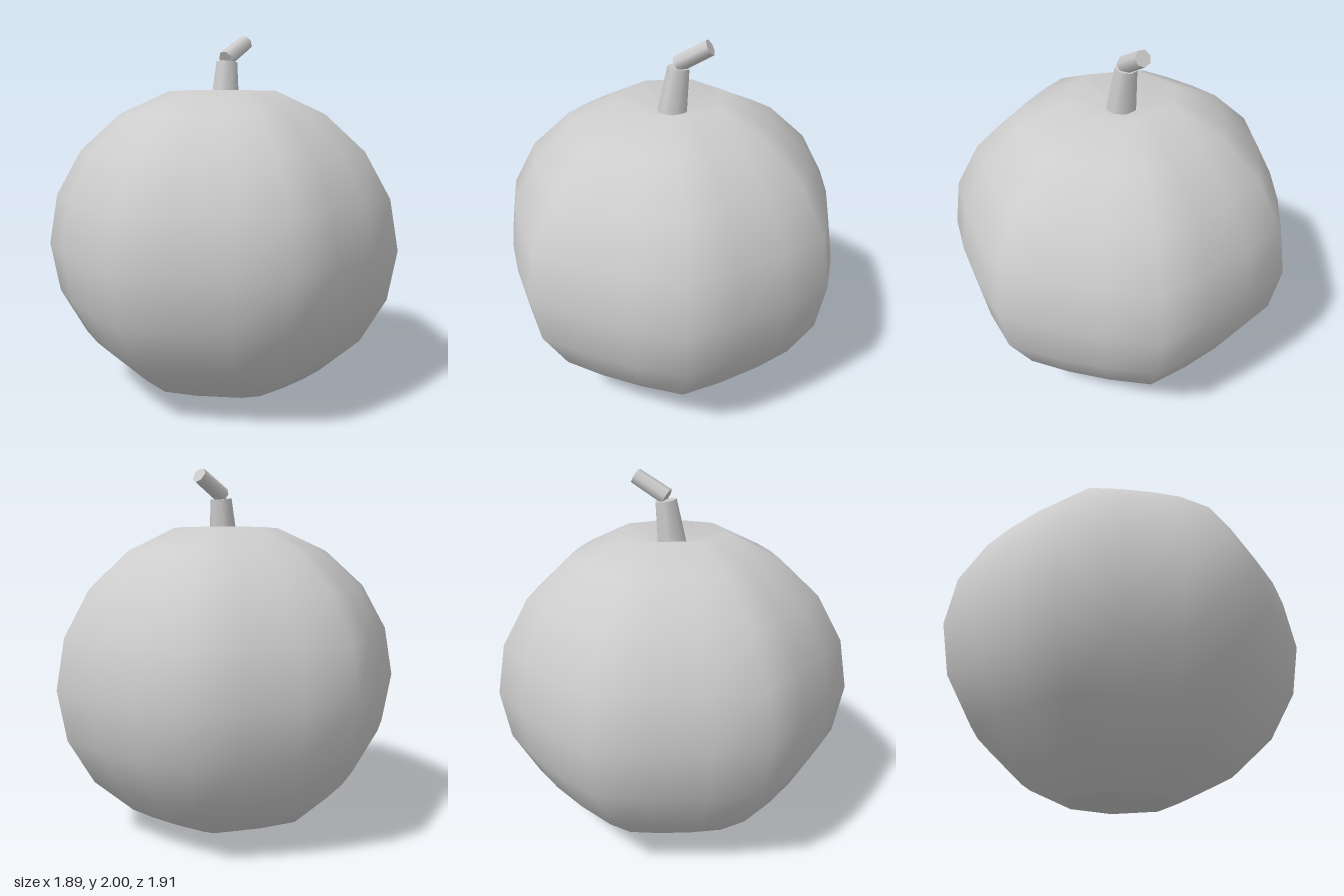
import * as THREE from 'three';

const SIDES = 7, SPLIT = 3, AROUND = SIDES * SPLIT;
const RADIUS = 0.981, HALF = 0.886, MID = 0.8425, CENTRE_X = -0.036;

// Point on a seven-sided ring, its sides split in three and slightly bulged
function ringPoint(i, radius, y, bulge) {
  const a = (Math.floor(i / SPLIT) * 2 * Math.PI) / SIDES;
  const b = a + (2 * Math.PI) / SIDES;
  const t = (i % SPLIT) / SPLIT;
  const s = radius * (t > 0 ? bulge : 1);
  return [
    CENTRE_X + s * THREE.MathUtils.lerp(Math.cos(a), Math.cos(b), t),
    y,
    s * THREE.MathUtils.lerp(Math.sin(a), Math.sin(b), t),
  ];
}

// Smooth skin from the bottom ring up and over into the dimple
function skinGeometry() {
  const pos = [], index = [];
  for (let k = 1; k <= 9; k++) {
    const phi = (k * Math.PI) / 10;
    const bulge = k === 1 || k === 9 ? 1 : 1.032;
    for (let i = 0; i < AROUND; i++) {
      pos.push(...ringPoint(i, RADIUS * Math.sin(phi), MID - HALF * Math.cos(phi), bulge));
    }
  }
  const pole = pos.length / 3;
  pos.push(CENTRE_X, 1.58, 0);
  for (let i = 0; i < AROUND; i++) {
    const j = (i + 1) % AROUND;
    for (let k = 0; k < 8; k++) {
      const a = k * AROUND + i, b = k * AROUND + j;
      index.push(a, a + AROUND, b, b, a + AROUND, b + AROUND);
    }
    index.push(8 * AROUND + i, pole, 8 * AROUND + j);
  }
  const g = new THREE.BufferGeometry();
  g.setAttribute('position', new THREE.Float32BufferAttribute(pos, 3));
  g.setIndex(index);
  g.computeVertexNormals();
  return g;
}

// Tapered seven-sided rod between two points
function rod(name, from, to, r0, r1, material) {
  const a = new THREE.Vector3(...from), b = new THREE.Vector3(...to);
  const dir = b.clone().sub(a);
  const mesh = new THREE.Mesh(new THREE.CylinderGeometry(r1, r0, dir.length(), SIDES), material);
  mesh.position.copy(a).add(b).multiplyScalar(0.5);
  mesh.quaternion.setFromUnitVectors(new THREE.Vector3(0, 1, 0), dir.normalize());
  mesh.name = name;
  return mesh;
}

export function createModel() {
  const model = new THREE.Group();
  model.name = 'fruit';
  const grey = new THREE.MeshStandardMaterial({ color: 0xcccccc });
  grey.name = 'light grey';

  const skin = new THREE.Mesh(skinGeometry(), grey);
  skin.name = 'fruitBody';

  // Flat base, its first corner on +x
  const base = new THREE.Mesh(new THREE.CircleGeometry(RADIUS * Math.sin(Math.PI / 10), SIDES), grey);
  base.rotation.x = Math.PI / 2;
  base.position.set(CENTRE_X, MID - HALF * Math.cos(Math.PI / 10), 0);
  base.name = 'fruitBase';

  // Bent stem
  const stem = new THREE.Group();
  stem.name = 'stem';
  stem.add(
    rod('lowerStem', [-0.035, 1.57, 0.005], [-0.005, 1.845, -0.018], 0.085, 0.06, grey),
    rod('upperStem', [-0.012, 1.862, -0.015], [0.155, 1.962, -0.067], 0.047, 0.044, grey)
  );

  model.add(skin, base, stem);
  return model;
}
